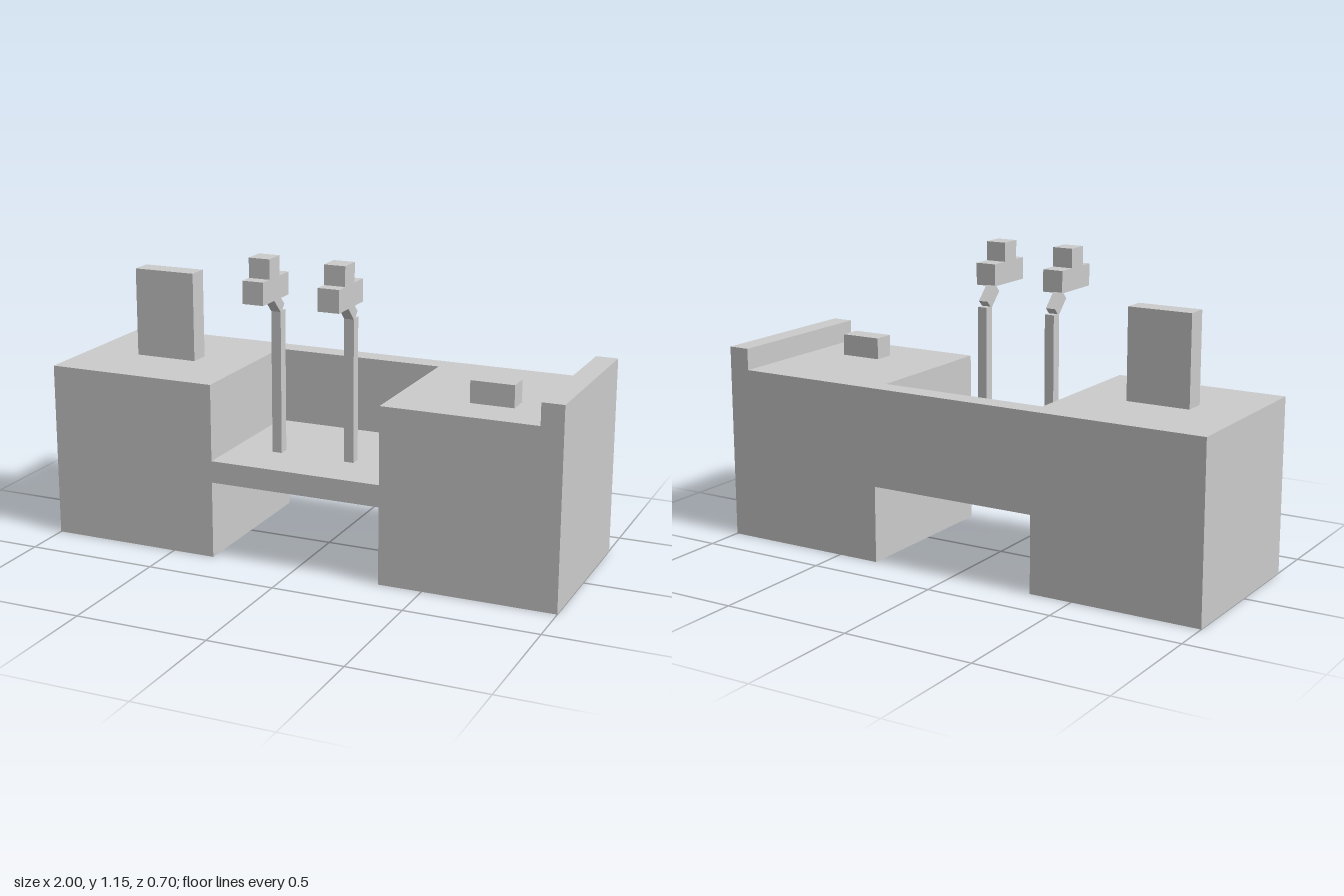
import * as THREE from 'three';

const material = new THREE.MeshStandardMaterial({ color: 0xcccccc, flatShading: true });

// Box given by its [min, max] extent along each axis
function box(parent, name, [x0, x1], [y0, y1], [z0, z1]) {
  const mesh = new THREE.Mesh(new THREE.BoxGeometry(x1 - x0, y1 - y0, z1 - z0), material);
  mesh.position.set((x0 + x1) / 2, (y0 + y1) / 2, (z0 + z1) / 2);
  mesh.name = name;
  parent.add(mesh);
  return mesh;
}

// Upright post with a tilted neck and a stepped head
function createStand(name, x) {
  const stand = new THREE.Group();
  stand.name = name;
  stand.position.x = x;
  box(stand, 'post', [0, 0.038], [0.376, 0.918], [0.081, 0.121]);
  const neck = box(stand, 'neck', [0, 0.038], [0.914, 0.994], [0.111, 0.151]);
  neck.rotation.x = Math.PI / 4;
  box(stand, 'headBase', [0, 0.081], [0.99, 1.074], [0.142, 0.35]);
  box(stand, 'headTop', [0, 0.081], [1.074, 1.147], [0.215, 0.298]);
  return stand;
}

export function createModel() {
  const model = new THREE.Group();
  model.name = 'counter';
  const top = 0.667, inner = 0.333, back = -0.35, front = 0.316;

  // Counter: two pedestals joined by a low shelf and a back panel
  box(model, 'rightPedestal', [-1, -inner], [0, top], [back, front]);
  box(model, 'leftPedestal', [inner, 1], [0, top], [back, front]);
  box(model, 'shelf', [-inner, inner], [0.293, 0.376], [back, front]);
  box(model, 'backPanel', [-inner, inner], [0.376, top], [back, -0.267]);

  // Items on the counter top
  box(model, 'sideLedge', [0.917, 1], [top, 0.75], [back, front]);
  box(model, 'smallBlock', [0.607, 0.771], [top, 0.75], [0.068, 0.151]);
  box(model, 'uprightPanel', [-0.792, -0.546], [top, 1.007], [-0.042, 0.04]);

  // Pair of stands on the shelf
  model.add(createStand('rightStand', -0.178), createStand('leftStand', 0.113));
  return model;
}
